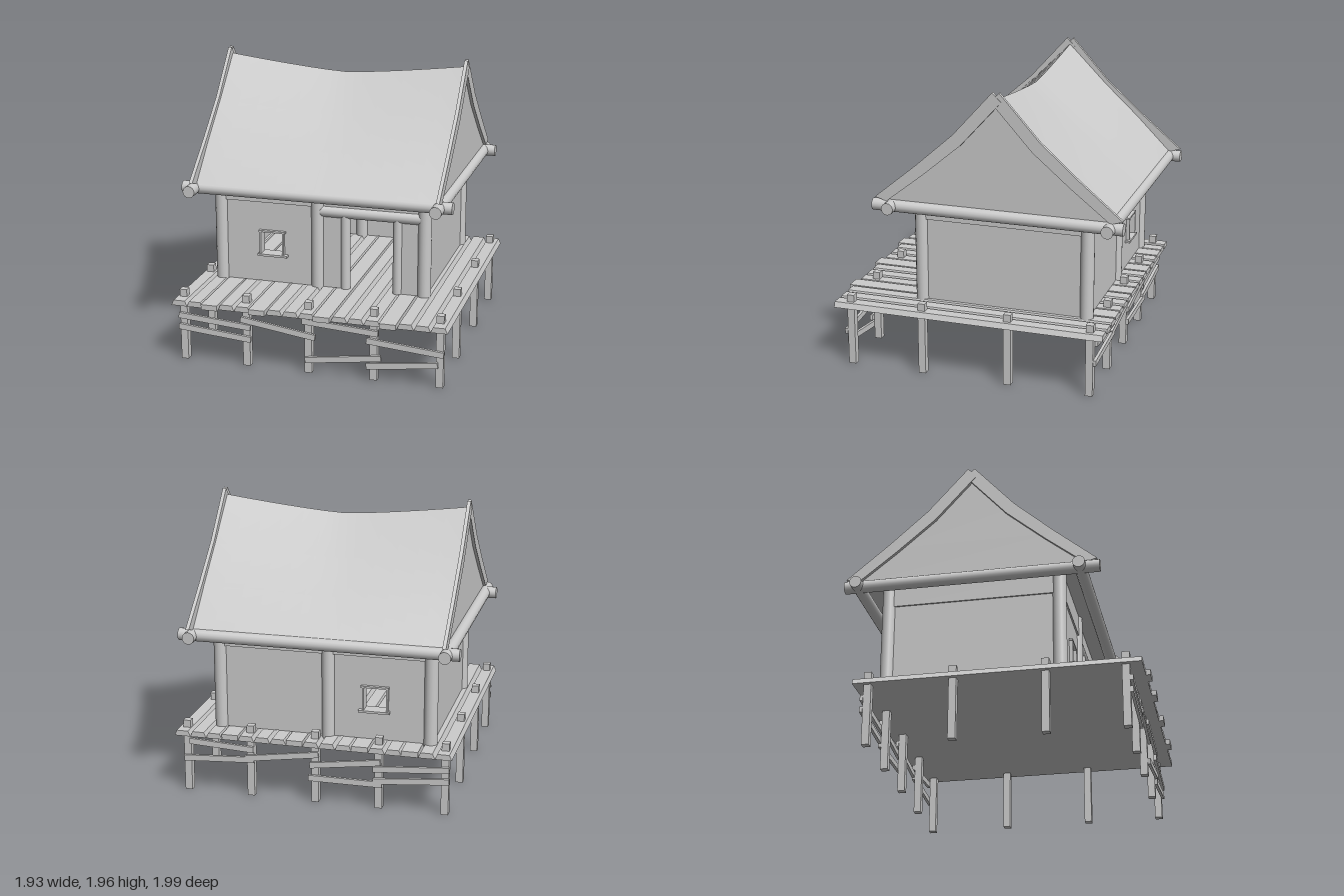
import * as THREE from 'three';
import { toCreasedNormals } from 'three/addons/utils/BufferGeometryUtils.js';

const mat = new THREE.MeshStandardMaterial({ color: 0xcccccc });
const DECK = 0.45, EAVE = 1.17, RIDGE_Z = -0.1425;
const FRONT = 0.43, BACK = -0.72, LEFT = 0.685, RIGHT = -0.75;

export function createModel() {
  const root = new THREE.Group();

  const add = (name, geo, x = 0, y = 0, z = 0, parent = root) => {
    const m = new THREE.Mesh(geo, mat);
    m.name = name;
    m.position.set(x, y, z);
    parent.add(m);
    return m;
  };
  const box = (name, x0, x1, y0, y1, z0, z1) =>
    add(name, new THREE.BoxGeometry(x1 - x0, y1 - y0, z1 - z0), (x0 + x1) / 2, (y0 + y1) / 2, (z0 + z1) / 2);
  const shapeOf = pts => new THREE.Shape(pts.map(p => new THREE.Vector2(p[0], p[1])));
  const extrude = (shape, depth) => new THREE.ExtrudeGeometry(shape, { depth, bevelEnabled: false });
  // Round log between two points
  const log = (name, a, b, r) => {
    const p = new THREE.Vector3(...a), q = new THREE.Vector3(...b);
    const d = q.clone().sub(p);
    const m = add(name, new THREE.CylinderGeometry(r, r, d.length(), 16));
    m.position.copy(p).add(q).multiplyScalar(0.5);
    m.quaternion.setFromUnitVectors(new THREE.Vector3(0, 1, 0), d.normalize());
  };

  // Deck planks with bevelled sides, some longer at the front
  const count = 17, deckX = -0.925, pitch = 1.89 / count;
  for (let i = 0; i < count; i++) {
    const x = deckX + pitch * (i + 0.5), w = pitch / 2;
    const long = [2, 5, 9, 13].includes(i);
    const top = long ? w : w - 0.016;
    const front = long ? 1.0 : 0.97;
    const s = shapeOf([[-w, 0], [w, 0], [top, 0.037], [-top, 0.037]]);
    add('deckPlank', extrude(s, front + 0.9), x, DECK - 0.037, -0.9);
  }

  // Square stilts around the deck edge
  const stiltX = [-0.87, -0.425, 0.008, 0.455, 0.9], stiltZ = [0.865, 0.355, -0.245, -0.805];
  stiltX.forEach((x, i) => stiltZ.forEach((z, j) => {
    const edge = i === 0 || i === 4 || j === 0 || j === 3;
    if (edge) box('stilt', x - 0.025, x + 0.025, 0, 0.5, z - 0.025, z + 0.025);
  }));

  // Crooked brace boards nailed across the stilts: x0, y0, x1, y1
  const brace = (z, list) => list.forEach(([x0, y0, x1, y1]) => {
    const len = Math.hypot(x1 - x0, y1 - y0);
    const m = add('braceBoard', new THREE.BoxGeometry(len, 0.04, 0.02), (x0 + x1) / 2, (y0 + y1) / 2, z);
    m.rotation.z = Math.atan2(y1 - y0, x1 - x0);
  });
  brace(0.9, [
    [-0.9, 0.32, -0.39, 0.28], [-0.9, 0.24, -0.39, 0.195],
    [-0.46, 0.335, 0.06, 0.26],
    [-0.03, 0.37, 0.49, 0.335], [-0.01, 0.095, 0.51, 0.165],
    [0.41, 0.28, 0.93, 0.235], [0.41, 0.1, 0.89, 0.16],
  ]);
  brace(-0.84, [
    [-0.9, 0.32, -0.39, 0.28], [-0.9, 0.24, -0.39, 0.195],
    [-0.44, 0.33, 0.04, 0.265], [-0.45, 0.175, 0.05, 0.175],
    [-0.02, 0.345, 0.49, 0.27],
    [0.43, 0.335, 0.88, 0.36], [0.43, 0.265, 0.92, 0.235],
  ]);

  // House posts
  for (const z of [FRONT, BACK])
    for (const x of [RIGHT, -0.06, LEFT]) log('housePost', [x, DECK - 0.02, z], [x, EAVE, z], 0.046);

  // Door jambs and lintel log
  for (const x of [0.135, 0.5]) log('doorJamb', [x, DECK, FRONT], [x, 0.97, FRONT], 0.034);
  log('doorLintel', [-0.04, 0.99, FRONT], [0.67, 0.99, FRONT], 0.04);

  // Front and back walls with a window; the front one also has the doorway
  const windowHole = [[-0.46, 0.655], [-0.46, 0.81], [-0.3, 0.81], [-0.3, 0.655]];
  const door = [[0.135, DECK], [0.135, 0.98], [0.5, 0.98], [0.5, DECK]];
  const longWall = (name, z, notch) => {
    const s = shapeOf([[RIGHT, DECK], ...notch, [LEFT, DECK], [LEFT, EAVE], [RIGHT, EAVE]]);
    s.holes.push(shapeOf(windowHole));
    add(name, extrude(s, 0.03), 0, 0, z - 0.015);
    // Window frame
    const z0 = z - 0.04, z1 = z + 0.04;
    box('windowSill', -0.48, -0.27, 0.64, 0.655, z0 - 0.01, z1 + 0.01);
    box('windowHead', -0.475, -0.285, 0.81, 0.822, z0, z1);
    box('windowSide', -0.47, -0.458, 0.655, 0.81, z0, z1);
    box('windowSide', -0.307, -0.295, 0.655, 0.81, z0, z1);
  };
  longWall('frontWall', FRONT, door);
  longWall('backWall', BACK, []);
  for (const x of [LEFT, RIGHT]) {
    box('sideWall', x - 0.015, x + 0.015, DECK, EAVE, BACK, FRONT);
    box('wallHeader', x - 0.026, x + 0.026, 1.02, EAVE, BACK, FRONT);
  }
  box('wallHeader', RIGHT, -0.06, 1.02, EAVE, FRONT - 0.026, FRONT + 0.026);
  box('wallHeader', RIGHT, LEFT, 1.02, EAVE, BACK - 0.026, BACK + 0.026);

  // Eave logs crossing at the corners
  for (const z of [0.59, -0.9]) log('eaveLog', [-0.965, 1.132, z], [0.905, 1.132, z], 0.041);
  for (const x of [-0.88, 0.815]) log('gableLog', [x, 1.132, 0.72], [x, 1.132, -0.99], 0.041);

  // Sagging roof lofted along x through flared cross-sections
  const half = [[0.76, 0], [0.52, 0.24], [0.275, 0.465], [0, 0.74]];
  const profile = [...half, ...half.slice(0, 3).reverse().map(([d, h]) => [-d, h])];
  const rings = 13, n = profile.length, pos = [], idx = [];
  for (let i = 0; i < rings; i++) {
    const t = i / (rings - 1) * 2 - 1;
    const k = (0.66 + 0.085 * Math.pow(Math.abs(t), 1.3)) / 0.74;
    for (const [d, h] of profile) pos.push(-0.025 + t * 0.838, EAVE + h * k, RIDGE_Z + d);
  }
  for (let i = 0; i < rings - 1; i++)
    for (let j = 0; j < n; j++) {
      const a = i * n + j, b = i * n + (j + 1) % n;
      idx.push(a, a + n, b, b, a + n, b + n);
    }
  // Gable ends
  const e = (rings - 1) * n;
  for (const [a, b] of [[0, 1], [1, 2], [2, 3]]) {
    const c = n - 1 - a, d = n - 1 - b;
    idx.push(a, b, c, e + a, e + c, e + b);
    if (b !== d) idx.push(b, d, c, e + b, e + c, e + d);
  }
  const roof = new THREE.BufferGeometry();
  roof.setAttribute('position', new THREE.Float32BufferAttribute(pos, 3));
  roof.setIndex(idx);
  add('roof', toCreasedNormals(roof, 0.5));

  // Curved bargeboards crossing above the ridge
  const board = [[0.7, 1.19], [0.41, 1.43], [0.15, 1.66], [-0.12, 1.96],
    [-0.18, 1.9], [0.1, 1.59], [0.36, 1.37], [0.62, 1.165]];
  for (const x of [-0.873, 0.823])
    for (const side of [1, -1]) {
      const pts = board.map(([z, y]) => [side > 0 ? z : 2 * RIDGE_Z - z, y]);
      const g = extrude(shapeOf(pts), 0.024).rotateY(-Math.PI / 2);
      add('bargeboard', g, x + 0.012 + side * 0.002, 0, 0);
    }

  return root;
}
